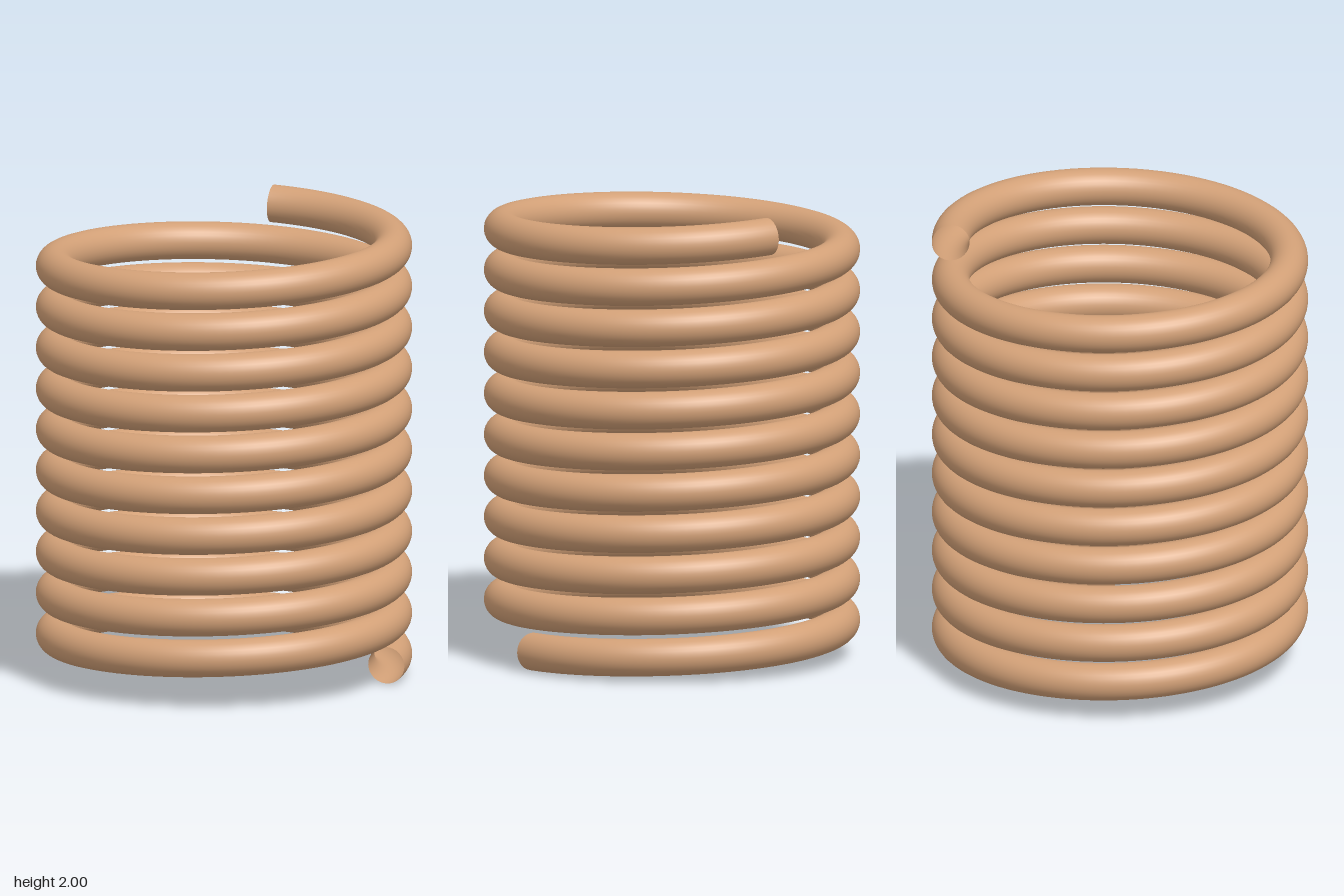
import * as THREE from 'three';

const COIL_RADIUS = 0.728; // axis to centre of the wire
const WIRE_RADIUS = 0.081;
const TURNS = 10.25;
const HEIGHT = 2;

// Rising helix from +x, turning through -z
class Helix extends THREE.Curve {
  getPoint(t, target = new THREE.Vector3()) {
    const angle = t * TURNS * Math.PI * 2;
    return target.set(
      COIL_RADIUS * Math.cos(angle),
      WIRE_RADIUS + t * (HEIGHT - 2 * WIRE_RADIUS),
      -COIL_RADIUS * Math.sin(angle)
    );
  }
}

export function createModel() {
  const group = new THREE.Group();
  group.name = 'coilSpring';

  const copper = new THREE.MeshStandardMaterial({ color: 0xd2a077, side: THREE.DoubleSide });
  copper.name = 'copper';

  // Open-ended wire wound into the spring
  const wire = new THREE.Mesh(new THREE.TubeGeometry(new Helix(), 984, WIRE_RADIUS, 32, false), copper);
  wire.name = 'coiledWire';
  group.add(wire);

  return group;
}
